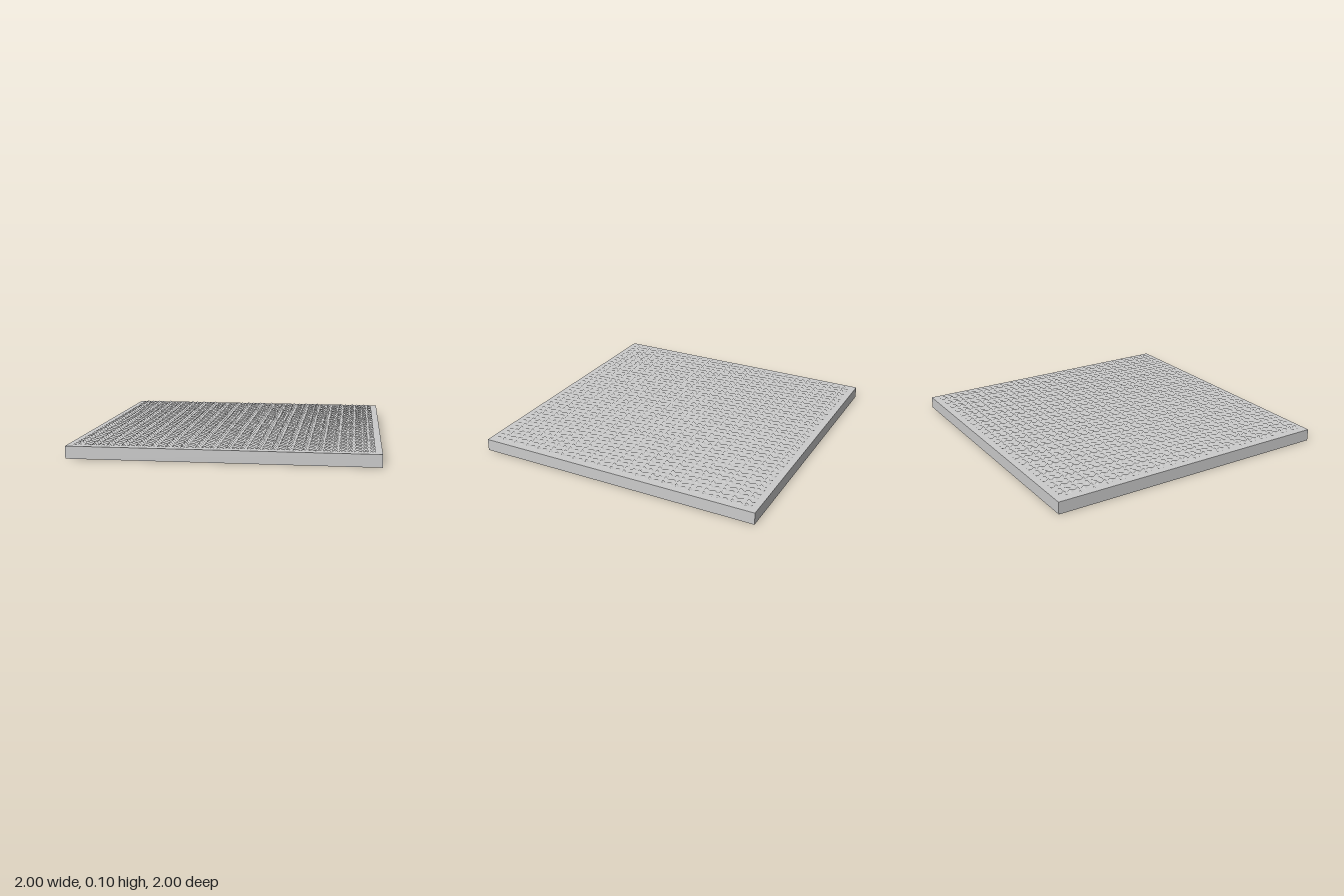
import * as THREE from 'three';

const SLAB_HEIGHT = 0.082;
const FIELD_SIZE = 1.914;
const SEGMENTS = 100;
const RIPPLE = 0.0105;

// Coarsely sampled wave that repeats every five grid steps
const wave = (step) => Math.sin((2 * Math.PI * 3 * step) / 5);

export function createModel() {
  const group = new THREE.Group();
  const material = new THREE.MeshStandardMaterial({ color: 0xcccccc });

  // Flat square base
  const slab = new THREE.Mesh(new THREE.BoxGeometry(2, SLAB_HEIGHT, 2), material);
  slab.name = 'baseSlab';
  slab.position.y = SLAB_HEIGHT / 2;
  group.add(slab);

  // Rippled surface: one wave along x plus one along z
  const geometry = new THREE.PlaneGeometry(FIELD_SIZE, FIELD_SIZE, SEGMENTS, SEGMENTS);
  geometry.rotateX(-Math.PI / 2);
  const position = geometry.attributes.position;
  const pitch = FIELD_SIZE / SEGMENTS;
  for (let i = 0; i < position.count; i++) {
    const column = Math.round(position.getX(i) / pitch);
    const row = Math.round(position.getZ(i) / pitch);
    position.setY(i, RIPPLE * (wave(column) + wave(row)));
  }
  geometry.computeVertexNormals();

  const surfaceMaterial = material.clone();
  surfaceMaterial.side = THREE.DoubleSide;
  const surface = new THREE.Mesh(geometry, surfaceMaterial);
  surface.name = 'texturedSurface';
  surface.position.y = SLAB_HEIGHT - 0.001;
  group.add(surface);

  return group;
}
